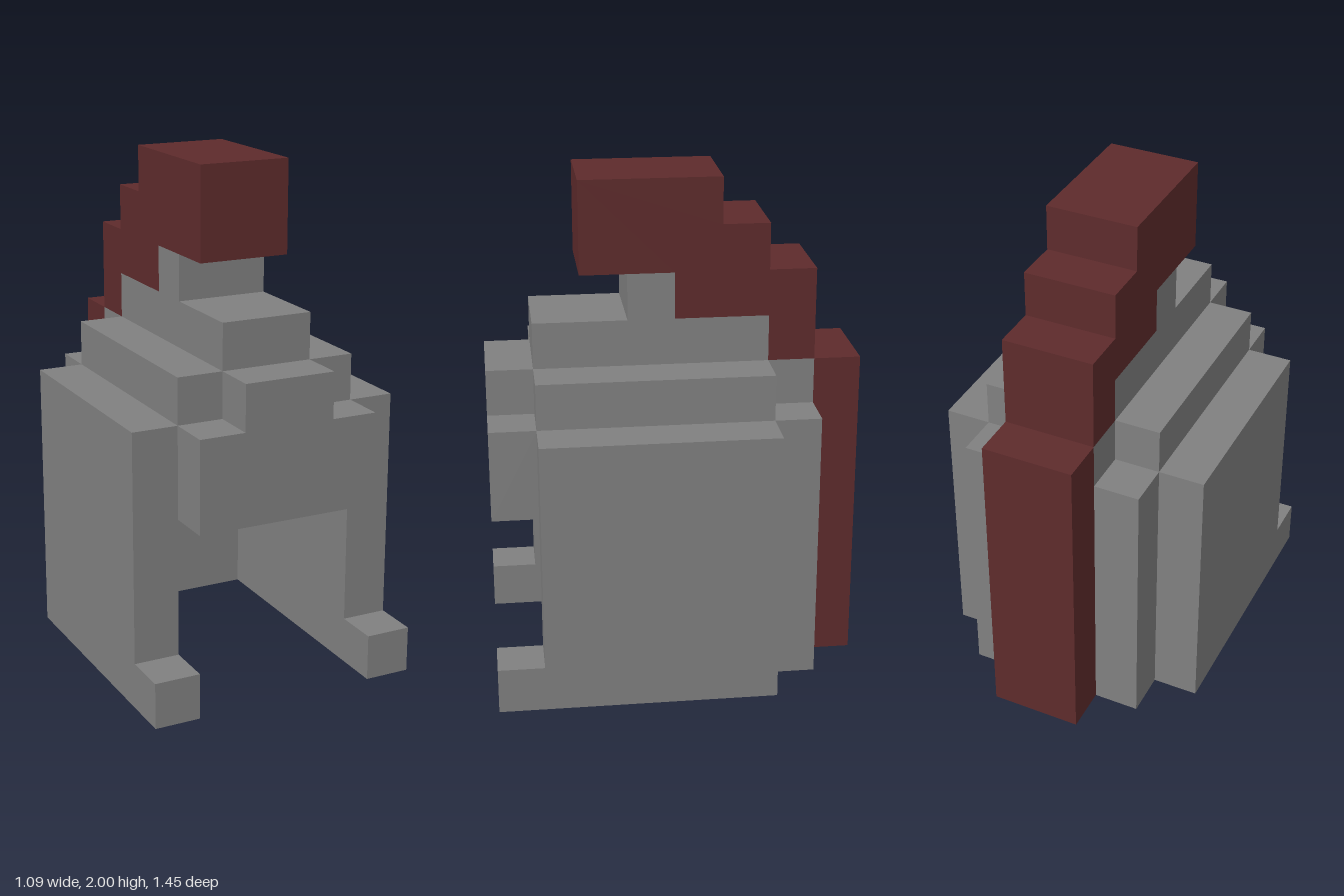
import * as THREE from 'three';

const U = 2 / 11; // one block

export function createModel() {
  const grey = new THREE.MeshStandardMaterial({ color: 0x808080 });
  grey.name = 'steel grey';
  const red = new THREE.MeshStandardMaterial({ color: 0x5e2b2c });
  red.name = 'dark red';

  const model = new THREE.Group();
  model.name = 'helmet';

  const add = (name, geometry, material) => {
    const mesh = new THREE.Mesh(geometry, material);
    mesh.name = name;
    model.add(mesh);
  };

  // Outline in block units, extruded from depth d0 to d1
  const extrude = (points, d0, d1) => {
    const shape = new THREE.Shape(points.map(([a, b]) => new THREE.Vector2(a * U, b * U)));
    return new THREE.ExtrudeGeometry(shape, { depth: (d1 - d0) * U, bevelEnabled: false })
      .translate(0, 0, d0 * U);
  };
  // Side outline given as (z, y), extruded across x0..x1
  const sideExtrude = (points, x0, x1) => extrude(points, -x1, -x0).rotateY(-Math.PI / 2);

  const box = (x0, x1, y0, y1, z0, z1) =>
    new THREE.BoxGeometry((x1 - x0) * U, (y1 - y0) * U, (z1 - z0) * U)
      .translate((x0 + x1) / 2 * U, (y0 + y1) / 2 * U, (z0 + z1) / 2 * U);

  // Cheek panels with forward toes, and the stepped shoulders of the dome
  const cheek = [[-2, 0], [4, 0], [4, 1], [3, 1], [3, 6], [-2, 6]];
  for (const [side, s] of [['left', 1], ['right', -1]]) {
    add(side + 'CheekPanel', sideExtrude(cheek, s > 0 ? 2 : -3, s > 0 ? 3 : -2), grey);
    add(side + 'DomeStep', box(s > 0 ? 1 : -2, s > 0 ? 2 : -1, 6, 7, -2, 3), grey);
  }

  // Dome ridge and the post that holds the crest
  add('domeRidge', box(-1, 1, 7, 8, -2, 3), grey);
  add('crestPost', box(-1, 1, 8, 9, 0, 1), grey);

  // Brow plate and back wall, each with a raised middle
  const raised = (bottom) => [[-2, bottom], [2, bottom], [2, 6], [1, 6], [1, 7], [-1, 7], [-1, 6], [-2, 6]];
  add('browPlate', extrude(raised(4), 3, 4), grey);
  add('backWall', extrude(raised(0), -3, -2), grey);

  // Crest stepping down over the back
  add('crest', sideExtrude([
    [2, 9], [2, 11], [-1, 11], [-1, 10], [-2, 10], [-2, 9], [-3, 9],
    [-3, 7], [-2, 7], [-2, 8], [0, 8], [0, 9],
  ], -1, 1), red);
  add('crestTail', box(-1, 1, 0, 7, -4, -3), red);

  return model;
}
